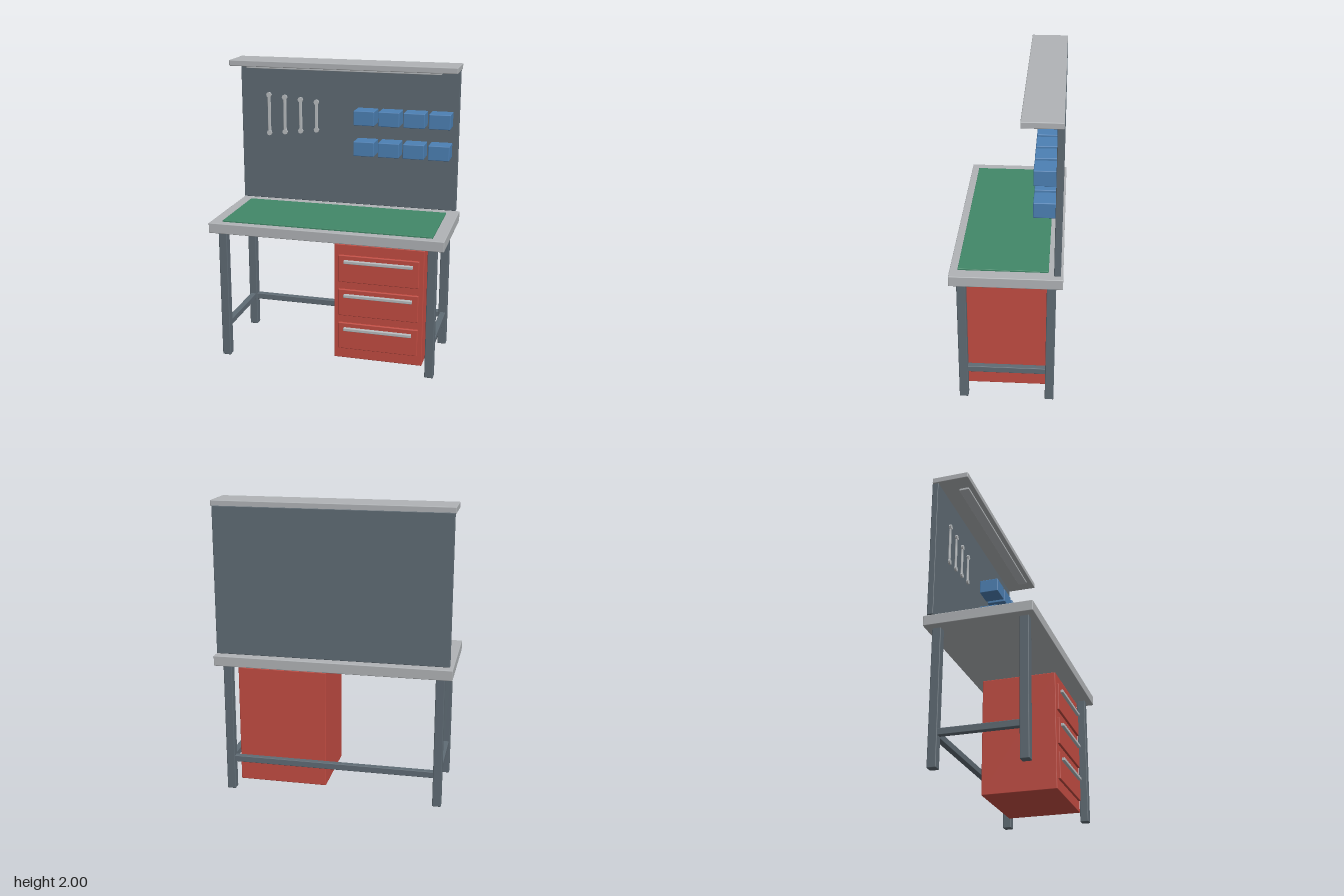
import * as THREE from 'three';
import { RoundedBoxGeometry } from 'three/addons/geometries/RoundedBoxGeometry.js';

const paint = (name, color) => {
  const m = new THREE.MeshStandardMaterial({ color });
  m.name = name;
  return m;
};

export function createModel() {
  const model = new THREE.Group();
  model.name = 'workbench';
  const slate = paint('slate steel', 0x5f6b74);
  const grey = paint('light grey laminate', 0xb0b3b6);
  const green = paint('green mat', 0x418868);
  const red = paint('red enamel', 0xc24c42);
  const blue = paint('blue plastic', 0x4c80b4);
  const chrome = paint('bright metal', 0xb9bdc0);

  // Softly bevelled block given by its extents on each axis
  const block = (name, mat, [x0, x1], [y0, y1], [z0, z1], bevel = 0.004, parent = model) => {
    const mesh = new THREE.Mesh(new RoundedBoxGeometry(x1 - x0, y1 - y0, z1 - z0, 2, bevel), mat);
    mesh.position.set((x0 + x1) / 2, (y0 + y1) / 2, (z0 + z1) / 2);
    mesh.name = name;
    parent.add(mesh);
    return mesh;
  };
  const around = (c, size) => [c - size / 2, c + size / 2];
  const group = (name) => {
    const g = new THREE.Group();
    g.name = name;
    model.add(g);
    return g;
  };

  // Worktop and mat
  block('worktop', grey, [-0.793, 0.793], [0.9, 0.97], [-0.353, 0.353], 0.005);
  block('workMat', green, [-0.712, 0.712], [0.965, 0.98], [-0.262, 0.302], 0.003);

  // Legs and lower rails
  const frame = group('frame');
  const legX = 0.712, legZ = 0.282;
  for (const sx of [-1, 1]) {
    for (const sz of [-1, 1]) {
      block('leg', slate, around(sx * legX, 0.058), [0, 0.905], around(sz * legZ, 0.058), 0.005, frame);
    }
    block('sideRail', slate, around(sx * legX, 0.04), [0.2, 0.243], [-legZ, legZ], 0.004, frame);
  }
  block('backRail', slate, [-legX, legX], [0.2, 0.243], around(-legZ, 0.04), 0.004, frame);

  // Drawer cabinet
  const cabinet = group('drawerCabinet');
  block('cabinetBody', red, [0.053, 0.655], [0.056, 0.868], [-0.255, 0.26], 0.005, cabinet);
  [0.702, 0.463, 0.223].forEach((y) => {
    block('drawerFront', red, [0.083, 0.625], around(y, 0.187), [0.25, 0.275], 0.005, cabinet);
    block('drawerHandle', chrome, [0.123, 0.584], around(y + 0.052, 0.022), [0.27, 0.295], 0.004, cabinet);
  });

  // Back panel, top shelf and lamp below it
  block('backPanel', slate, [-0.773, 0.773], [0.985, 1.965], [-0.338, -0.296]);
  block('topShelf', grey, [-0.782, 0.782], [1.96, 2], [-0.335, -0.087], 0.005);
  block('lampStrip', chrome, [-0.67, 0.67], [1.945, 1.965], [-0.187, -0.12], 0.003);

  // Two rows of storage bins
  const bins = group('storageBins');
  for (const y of [1.627, 1.415]) {
    for (let i = 0; i < 4; i++) {
      block('bin', blue, around(0.146 + i * 0.1718, 0.144), around(y, 0.1), [-0.298, -0.162], 0.005, bins);
    }
  }

  // Hanging wrenches, shorter from left to right
  const wrenches = group('wrenches');
  const headGeo = new THREE.CylinderGeometry(0.019, 0.019, 0.013, 8).rotateX(Math.PI / 2).toNonIndexed();
  headGeo.computeVertexNormals();
  for (let i = 0; i < 4; i++) {
    const x = -0.566 + i * 0.1153;
    const top = 1.74 - i * 0.0125, bottom = 1.47 + i * 0.0125;
    block('wrenchShaft', chrome, around(x, 0.021), [bottom, top], [-0.288, -0.277], 0.003, wrenches);
    for (const y of [top, bottom]) {
      const head = new THREE.Mesh(headGeo, chrome);
      head.name = 'wrenchHead';
      head.position.set(x, y, -0.28);
      wrenches.add(head);
    }
  }
  return model;
}
